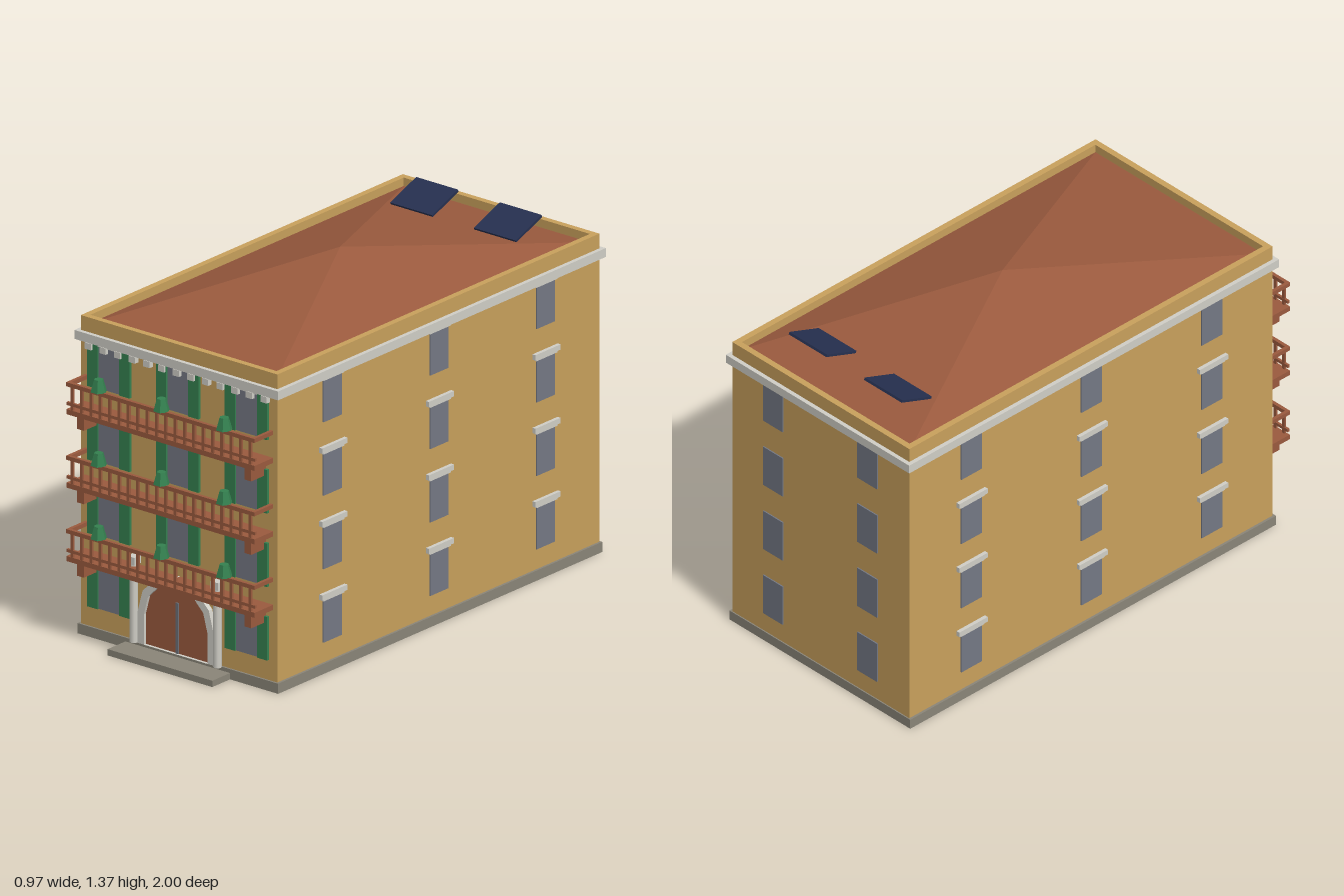
import * as THREE from 'three';

const mat = (name, color, extra = {}) => Object.assign(new THREE.MeshStandardMaterial({ color, ...extra }), { name });

export function createModel() {
  const wall = mat('ochre plaster', 0xc8a05c);
  const brick = mat('terracotta', 0x9a5a3e);
  const stone = mat('pale stone', 0xd0cec6);
  const grey = mat('grey plinth', 0x8a8578);
  const glass = mat('window glass', 0x747884);
  const green = mat('shutter green', 0x34804f);
  const navy = mat('solar navy', 0x263050);
  const metal = mat('door metal', 0x6c7078);

  const model = new THREE.Group();
  model.name = 'apartmentBuilding';
  const add = (name, geo, material, x = 0, y = 0, z = 0, parent = model) => {
    const m = new THREE.Mesh(geo, material);
    m.name = name;
    m.position.set(x, y, z);
    parent.add(m);
    return m;
  };
  // Box given by its extents on each axis
  const box = (name, material, x0, x1, y0, y1, z0, z1, parent) =>
    add(name, new THREE.BoxGeometry(x1 - x0, y1 - y0, z1 - z0), material,
      (x0 + x1) / 2, (y0 + y1) / 2, (z0 + z1) / 2, parent);

  const CZ = -0.056, HX = 0.47, HZ = 0.926;
  const FRONT = CZ + HZ, BACK = CZ - HZ;

  // Main mass
  box('plinth', grey, -0.48, 0.48, 0, 0.04, BACK - 0.005, FRONT + 0.008);
  box('doorStep', grey, -0.25, 0.25, 0, 0.025, FRONT, 0.98);
  box('walls', wall, -HX, HX, 0.04, 1.2, BACK, FRONT);
  box('cornice', stone, -0.487, 0.487, 1.163, 1.198, CZ - 0.943, CZ + 0.943);

  // Parapet ring
  const T = 0.025;
  for (const s of [-1, 1]) {
    const x = s * (HX - T / 2), z = CZ + s * (HZ - T / 2);
    box('parapetSide', wall, x - T / 2, x + T / 2, 1.198, 1.256, BACK, FRONT);
    box('parapetEnd', wall, -HX + T, HX - T, 1.198, 1.256, z - T / 2, z + T / 2);
  }

  // Hipped roof meeting at one point
  const roof = new THREE.ConeGeometry(Math.SQRT2, 0.142, 4, 1).toNonIndexed();
  roof.rotateY(Math.PI / 4);
  roof.scale(HX - T, 1, HZ - T);
  roof.computeVertexNormals();
  add('roof', roof, brick, 0, 1.223 + 0.071, CZ);

  // Solar panels
  for (const x of [-0.2, 0.2]) {
    add('solarPanel', new THREE.BoxGeometry(0.2, 0.01, 0.16), navy, x, 1.293, -0.781).rotation.x = 0.36;
  }

  // Window facing +z in its own frame, origin at the sill centre on the wall
  const makeWindow = (x, y, z, turn, { lintel = false, shutters = false }) => {
    const g = new THREE.Group();
    g.name = 'window';
    g.position.set(x, y, z);
    g.rotation.y = turn;
    model.add(g);
    box('pane', glass, -0.0525, 0.0525, 0, 0.172, -0.004, 0.005, g);
    if (lintel) {
      box('lintelBase', stone, -0.06, 0.06, 0.166, 0.176, 0, 0.01, g);
      box('lintel', stone, -0.0725, 0.0725, 0.174, 0.195, 0, 0.015, g);
    }
    if (shutters) for (const s of [-1, 1]) {
      add('shutter', new THREE.BoxGeometry(0.049, 0.172, 0.012), green, s * 0.077, 0.086, 0.006, g);
    }
  };
  for (let f = 0; f < 4; f++) {
    const y = 0.12 + f * 0.29;
    for (const z of [0.557, CZ, -0.669]) for (const s of [-1, 1]) {
      makeWindow(s * HX, y, z, s * Math.PI / 2, { lintel: true });
    }
    for (const x of [-0.25, 0.25]) makeWindow(x, y, BACK, Math.PI, {});
    for (const x of [-0.329, 0, 0.329]) {
      if (f === 0 && x === 0) continue;
      makeWindow(x, y, FRONT, 0, { lintel: x !== 0, shutters: true });
    }
  }

  // Dentils below the front cornice
  for (let i = -6; i <= 6; i++) {
    box('dentil', stone, i * 0.07 - 0.015, i * 0.07 + 0.015, 1.138, 1.163, FRONT, FRONT + 0.02);
  }

  // Arched entrance: faceted arch outline of a given half width
  const arch = (PathType, r) => {
    const p = new PathType();
    p.moveTo(-r, 0.04);
    p.lineTo(r, 0.04);
    for (let i = 0; i <= 6; i++) {
      const a = i * Math.PI / 6;
      p.lineTo(r * Math.cos(a), 0.16 + r * Math.sin(a));
    }
    p.closePath();
    return p;
  };
  const extrude = (shape, depth) => new THREE.ExtrudeGeometry(shape, { depth, bevelEnabled: false });
  add('door', extrude(arch(THREE.Shape, 0.152), 0.008), brick, 0, 0, FRONT);
  const frame = arch(THREE.Shape, 0.183);
  frame.holes.push(arch(THREE.Path, 0.152));
  add('doorFrame', extrude(frame, 0.02), stone, 0, 0, FRONT);
  box('doorBar', metal, -0.006, 0.006, 0.04, 0.24, FRONT, FRONT + 0.014);
  for (const s of [-1, 1]) {
    add('column', new THREE.CylinderGeometry(0.016, 0.016, 0.31, 8), stone, s * 0.2, 0.195, FRONT + 0.02);
    box('columnCapital', stone, s * 0.2 - 0.018, s * 0.2 + 0.018, 0.35, 0.38, FRONT, FRONT + 0.038);
  }

  // Balconies
  const plantGeo = new THREE.CylinderGeometry(0.018, 0.032, 0.048, 6).toNonIndexed();
  plantGeo.rotateY(Math.PI / 6);
  plantGeo.computeVertexNormals();
  for (let f = 0; f < 3; f++) {
    const g = new THREE.Group();
    g.name = 'balcony';
    g.position.y = 0.322 + f * 0.29;
    model.add(g);
    const Z = 0.972;
    box('slab', brick, -0.45, 0.45, 0, 0.02, FRONT, Z + 0.005, g);
    box('lowerRail', brick, -0.45, 0.45, 0.036, 0.048, Z - 0.006, Z + 0.004, g);
    box('topRail', brick, -0.45, 0.45, 0.111, 0.127, Z - 0.007, Z + 0.007, g);
    for (let i = 0; i < 20; i++) {
      const x = -0.425 + i * 0.85 / 19;
      box('baluster', brick, x - 0.006, x + 0.006, 0.02, 0.111, Z - 0.005, Z + 0.004, g);
    }
    for (const s of [-1, 1]) {
      box('sideRail', brick, s * 0.443 - 0.007, s * 0.443 + 0.007, 0.111, 0.127, FRONT, Z, g);
      box('bracket', brick, s * 0.4 - 0.016, s * 0.4 + 0.016, -0.056, 0, FRONT, 0.956, g);
    }
    for (const x of [-0.3, 0, 0.3]) add('plant', plantGeo, green, x, 0.15, Z, g);
  }
  return model;
}
